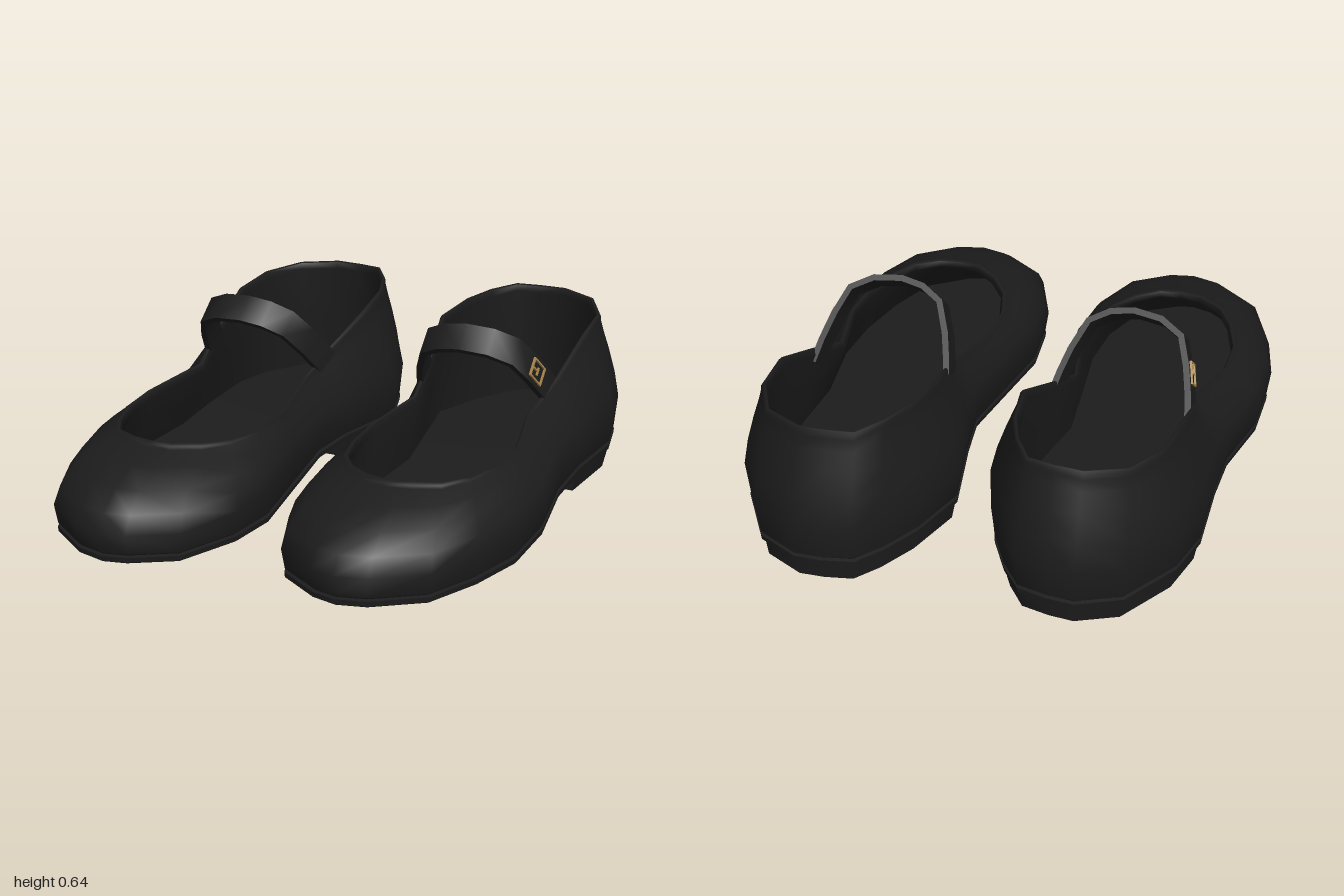
import * as THREE from 'three';
import { mergeGeometries, toCreasedNormals } from 'three/addons/utils/BufferGeometryUtils.js';

const V3 = (x, y, z) => new THREE.Vector3(x, y, z);
const lerp = THREE.MathUtils.lerp;
const ramp = (z, a, b) => THREE.MathUtils.clamp((z - a) / (b - a), 0, 1);

// Plan of the shoe, from heel centre round the outer side to the toe and back:
// [widest x, widest z, opening x, opening z, opening y]
const PLAN = [
  [0.43, -1.0, 0.42, -0.89, 0.555], [0.53, -1.0, 0.52, -0.89, 0.555],
  [0.68, -0.92, 0.65, -0.82, 0.55], [0.80, -0.71, 0.72, -0.67, 0.54],
  [0.835, -0.53, 0.725, -0.48, 0.52], [0.81, -0.25, 0.70, -0.26, 0.42],
  [0.80, -0.05, 0.66, -0.08, 0.34], [0.835, 0.23, 0.71, 0.18, 0.31],
  [0.82, 0.46, 0.70, 0.34, 0.30], [0.76, 0.67, 0.65, 0.48, 0.30],
  [0.67, 0.86, 0.59, 0.57, 0.305], [0.50, 0.975, 0.50, 0.615, 0.31],
  [0.39, 1.0, 0.42, 0.625, 0.31], [0.30, 0.975, 0.34, 0.61, 0.31],
  [0.15, 0.87, 0.26, 0.55, 0.305], [0.07, 0.64, 0.20, 0.46, 0.30],
  [0.06, 0.44, 0.17, 0.33, 0.30], [0.10, 0.20, 0.17, 0.16, 0.31],
  [0.145, -0.08, 0.23, -0.08, 0.34], [0.125, -0.25, 0.215, -0.26, 0.42],
  [0.08, -0.55, 0.18, -0.48, 0.52], [0.16, -0.76, 0.21, -0.66, 0.54],
  [0.24, -0.89, 0.26, -0.78, 0.55], [0.32, -0.98, 0.33, -0.88, 0.555],
];
const N = PLAN.length;
const soleY = (z) => lerp(0.065, 0.004, ramp(z, -0.25, 0.42));

// Ring of points inside the outline (col 0) or the opening (col 2), at height yOf(z, row)
function ring(col, inset, yOf) {
  return PLAN.map((p, i) => {
    const a = PLAN[(i + N - 1) % N], b = PLAN[(i + 1) % N];
    const tx = b[col] - a[col], tz = b[col + 1] - a[col + 1], l = Math.hypot(tx, tz);
    return V3(p[col] - (tz / l) * inset, yOf(p[col + 1], p), p[col + 1] + (tx / l) * inset);
  });
}

// Skin over closed rings, with optional flat caps made of cross strips
function loft(rings, capStart = false, capEnd = false) {
  const n = rings[0].length, idx = [];
  for (let j = 0; j + 1 < rings.length; j++) {
    for (let i = 0; i < n; i++) {
      const a = j * n + i, b = j * n + (i + 1) % n;
      idx.push(a, a + n, b, b, a + n, b + n);
    }
  }
  const cap = (o, up) => {
    const tri = (a, b, c) => {
      if (a === b || b === c || a === c) return;
      idx.push(o + a, o + (up ? b : c), o + (up ? c : b));
    };
    for (let i = 0; i < Math.floor(n / 2); i++) {
      const a = (n - i) % n, a2 = n - i - 1;
      tri(a, a2, i);
      tri(i, a2, i + 1);
    }
  };
  if (capStart) cap(0, false);
  if (capEnd) cap((rings.length - 1) * n, true);
  const g = new THREE.BufferGeometry().setFromPoints(rings.flat());
  g.setIndex(idx);
  return g;
}

// Upper: tucked base, widest line, then a curve up to the opening with a raised binding
function upperGeometry() {
  const widestY = (z) => lerp(0.22, 0.11, ramp(z, -0.7, 0.8));
  const rows = [
    ring(0, 0.022, (z) => soleY(z) + 0.028),
    ring(0, 0.012, (z) => soleY(z) + 0.037),
  ];
  const G = [0, 0.3, 0.58, 0.8, 0.92, 0.97, 1];
  const TOE = [0, 0.1, 0.31, 0.62, 0.91, 0.93, 0.98];
  const HEEL = [0, 0.2, 0.48, 0.74, 0.86, 0.87, 0.95];
  G.forEach((g, k) => rows.push(PLAN.map(([x, z, rx, rz, ry]) => {
    const f = lerp(HEEL[k], TOE[k], ramp(z, -0.4, 0.8));
    return V3(lerp(x, rx, f), lerp(widestY(z), ry, g), lerp(z, rz, f));
  })));
  rows.push(ring(2, 0.004, (z, p) => p[4] - 0.003));
  return loft(rows);
}

// Lining: from the binding down to the footbed
function liningGeometry() {
  const top = ring(2, 0.004, (z, p) => p[4] - 0.003);
  const lip = ring(2, 0.012, (z, p) => p[4] - 0.025);
  const foot = ring(0, 0.07, (z) => soleY(z) + 0.05);
  const mid = lip.map((p, i) => p.clone().lerp(foot[i], 0.5));
  return loft([top, lip, mid, foot]);
}

// Heel block: the rear of the outline with a straight front edge
function heelGeometry() {
  const rear = (y, d) => ring(0, d, () => y).filter((p, i) => PLAN[i][1] < -0.2);
  return loft([rear(0, 0.033), rear(0.072, 0.026)], true, true);
}

// Strap: an arch in a plane leaning forward; points are [x, height along the lean]
const LEAN = V3(0, 0.742, 0.67), ACROSS = V3(0, -0.67, 0.742);
const STRAP = [[0.695, -0.2], [0.678, 0.1], [0.65, 0.45], [0.61, 0.8], [0.53, 0.96], [0.43, 1],
  [0.35, 0.94], [0.28, 0.78], [0.24, 0.4], [0.22, 0.1], [0.205, -0.2]].map(([x, t]) => [x, t * 0.283]);
const onStrap = (x, t) => V3(x, 0.39, -0.21).addScaledVector(LEAN, t);

function strapGeometry() {
  const rows = STRAP.map(([x, t], i) => {
    const a = STRAP[Math.max(i - 1, 0)], b = STRAP[Math.min(i + 1, STRAP.length - 1)];
    const dx = b[0] - a[0], dt = b[1] - a[1], l = Math.hypot(dx, dt);
    const out = V3(dt / l, 0, 0).addScaledVector(LEAN, -dx / l);
    return [[1, -1], [1, 1], [-1, 1], [-1, -1]].map(([n, v]) =>
      onStrap(x, t).addScaledVector(out, n * 0.011).addScaledVector(ACROSS, v * 0.053));
  });
  return loft(rows, true, true);
}

// Buckle: a thin square frame and prong on the outer side of the strap
function buckleGeometry() {
  const bar = (h, w, y, z) => new THREE.BoxGeometry(0.008, h, w).translate(0, y, z);
  const g = mergeGeometries([
    bar(0.08, 0.006, 0, -0.033), bar(0.08, 0.006, 0, 0.033),
    bar(0.006, 0.066, -0.037, 0), bar(0.006, 0.066, 0.037, 0),
    bar(0.04, 0.006, 0.018, 0), bar(0.006, 0.03, 0, 0),
  ]);
  const along = V3(-0.27, 0, 0).addScaledVector(LEAN, 0.963);
  const out = V3(0.963, 0, 0).addScaledVector(LEAN, 0.27);
  const m = new THREE.Matrix4().makeBasis(out, along, ACROSS);
  m.setPosition(onStrap(0.655, 0.108).addScaledVector(out, 0.014));
  return g.applyMatrix4(m);
}

function makeShoe(mirrored) {
  const shoe = new THREE.Group();
  shoe.name = mirrored ? 'rightShoe' : 'leftShoe';
  const add = (name, geo, color, crease = 0) => {
    // The right shoe is the mirrored left one, turned a little
    if (mirrored) {
      geo.rotateY(0.08).translate(-0.016, 0, 0.035).scale(-1, 1, 1);
      const ix = geo.index.array;
      for (let i = 0; i < ix.length; i += 3) [ix[i], ix[i + 1]] = [ix[i + 1], ix[i]];
    }
    geo.computeVertexNormals();
    const mat = new THREE.MeshStandardMaterial({ color, side: THREE.DoubleSide });
    const mesh = new THREE.Mesh(crease ? toCreasedNormals(geo, crease) : geo, mat);
    mesh.name = name;
    shoe.add(mesh);
  };
  const BLACK = 0x1c1c1c, GOLD = 0xa8864a;
  add('upper', upperGeometry(), BLACK);
  add('lining', liningGeometry(), BLACK);
  add('insole', loft([ring(0, 0.065, (z) => soleY(z) + 0.04),
    ring(0, 0.07, (z) => soleY(z) + 0.05)], false, true), BLACK, 0.6);
  add('sole', loft([ring(0, 0.022, soleY), ring(0, 0.012, (z) => soleY(z) + 0.006),
    ring(0, 0.01, (z) => soleY(z) + 0.024), ring(0, 0.03, (z) => soleY(z) + 0.028)], true, false), BLACK, 0.6);
  add('heel', heelGeometry(), BLACK, 0.7);
  add('strap', strapGeometry(), BLACK, 0.7);
  add('buckle', buckleGeometry(), GOLD);
  return shoe;
}

export function createModel() {
  const model = new THREE.Group();
  model.name = 'strapShoes';
  model.add(makeShoe(false), makeShoe(true));
  return model;
}
